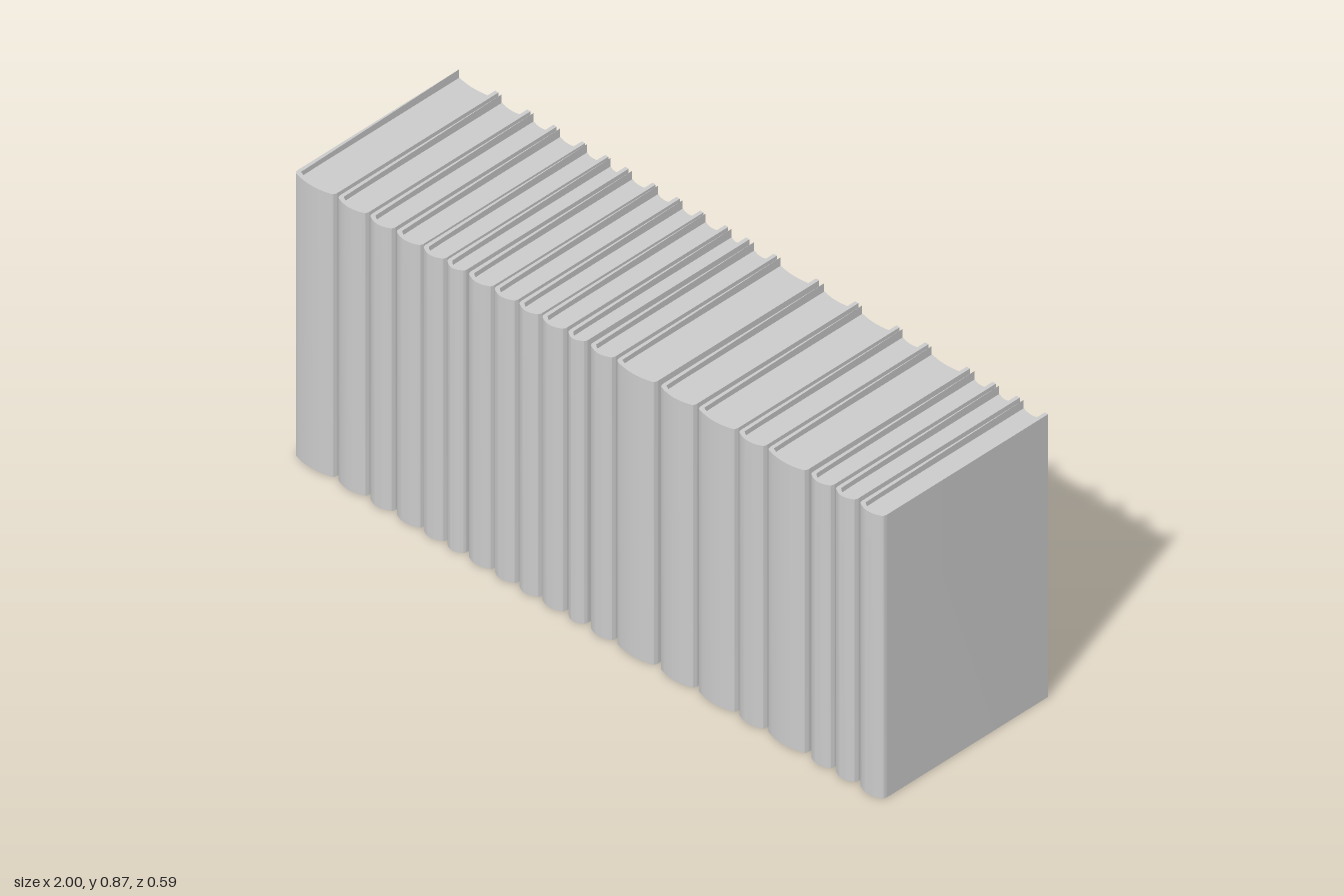
import * as THREE from 'three';
import { toCreasedNormals } from 'three/addons/utils/BufferGeometryUtils.js';

const HEIGHT = 0.865;  // cover height
const BACK = -0.295;   // fore edge of the boards
const BOARD = 0.011;   // cover thickness
const RECESS = 0.015;  // pages sit inside the cover at top and bottom

// Left and right limits of each book along the row
const BOOKS = [
  [-1, -0.866], [-0.855, -0.757], [-0.747, -0.668], [-0.657, -0.572], [-0.566, -0.493],
  [-0.486, -0.424], [-0.412, -0.332], [-0.325, -0.25], [-0.241, -0.17], [-0.163, -0.086],
  [-0.075, -0.014], [0.002, 0.08], [0.091, 0.223], [0.24, 0.356], [0.369, 0.496],
  [0.506, 0.594], [0.605, 0.735], [0.75, 0.823], [0.834, 0.904], [0.917, 1],
];

const material = new THREE.MeshStandardMaterial({ color: 0xcccccc });

// Extrudes a plan outline (x, -z) upwards from y0 to y1
function extrudeUp(shape, y0, y1) {
  const geo = new THREE.ExtrudeGeometry(shape, { depth: y1 - y0, bevelEnabled: false, curveSegments: 8 });
  geo.rotateX(-Math.PI / 2);
  geo.translate(0, y0, 0);
  return toCreasedNormals(geo, 0.6);
}

// Rounded spine line, running from -w to +w
function spine(shape, w, front, corner, bulge) {
  shape.quadraticCurveTo(-w, -(front - bulge), -w + corner, -(front - bulge * 0.75));
  shape.quadraticCurveTo(0, -(front + bulge * 0.75), w - corner, -(front - bulge * 0.75));
  shape.quadraticCurveTo(w, -(front - bulge), w, -(front - bulge * 2));
}

// U-shaped case: two boards joined by the rounded spine
function coverShape(w) {
  const s = new THREE.Shape();
  const i = w - BOARD;
  s.moveTo(-w, -BACK);
  s.lineTo(-w, -0.268);
  spine(s, w, 0.292, 0.008, 0.012);
  s.lineTo(w, -BACK);
  s.lineTo(i, -BACK);
  s.lineTo(i, -0.27);
  s.quadraticCurveTo(0, -0.295, -i, -0.27);
  s.closePath();
  return s;
}

// Page block with a hollow fore edge, following the spine inside
function pageShape(w) {
  const s = new THREE.Shape();
  const i = w - BOARD + 0.001;
  s.moveTo(-i, 0.286);
  s.lineTo(-i, -0.27);
  s.quadraticCurveTo(0, -0.296, i, -0.27);
  s.lineTo(i, 0.286);
  s.quadraticCurveTo(0, 0.272, -i, 0.286);
  return s;
}

export function createModel() {
  const row = new THREE.Group();
  row.name = 'bookRow';
  BOOKS.forEach(([x0, x1], n) => {
    const book = new THREE.Group();
    book.name = `book${n + 1}`;
    book.position.x = (x0 + x1) / 2;
    const w = (x1 - x0) / 2;

    const cover = new THREE.Mesh(extrudeUp(coverShape(w), 0, HEIGHT), material);
    cover.name = 'cover';
    const pages = new THREE.Mesh(extrudeUp(pageShape(w), RECESS, HEIGHT - RECESS), material);
    pages.name = 'pages';

    book.add(cover, pages);
    row.add(book);
  });
  return row;
}
